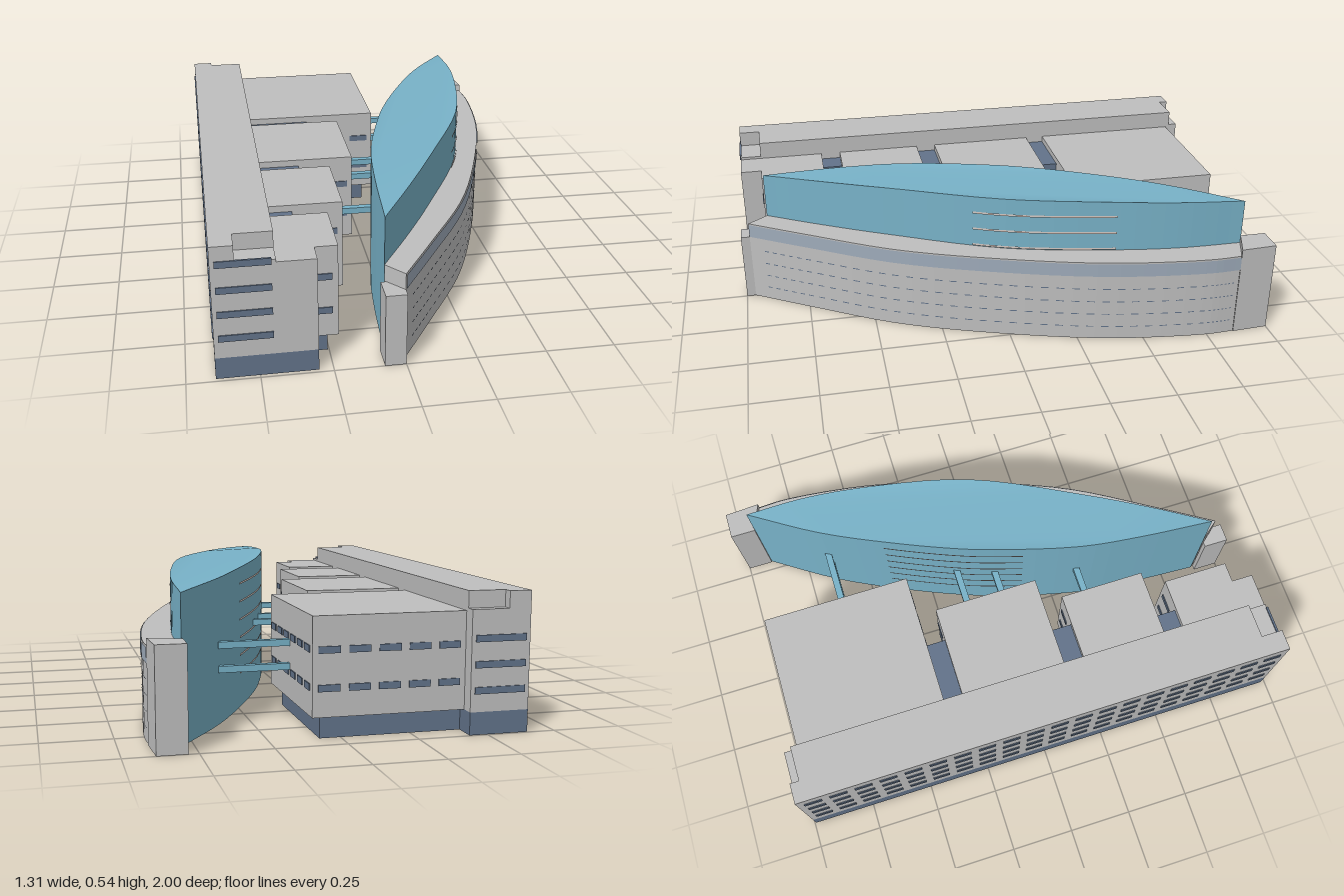
import * as THREE from 'three';
import { mergeGeometries } from 'three/addons/utils/BufferGeometryUtils.js';

const mat = (name, color) => {
  const m = new THREE.MeshStandardMaterial({ color, side: THREE.DoubleSide });
  m.name = name;
  return m;
};

export function createModel() {
  const model = new THREE.Group();
  model.name = 'officeComplex';
  const stone = mat('pale stone', 0xbfbfbf);
  const glass = mat('blue glass', 0x78b2c8);
  const slate = mat('slate glass', 0x62738a);
  const bandMat = mat('pale slate band', 0x9eabba);
  const trim = mat('floor line trim', 0xd6cac4);

  const add = (name, geo, m) => {
    const mesh = new THREE.Mesh(geo, m);
    mesh.name = name;
    model.add(mesh);
    return mesh;
  };
  const boxGeo = (x0, x1, y0, y1, z0, z1) =>
    new THREE.BoxGeometry(x1 - x0, y1 - y0, z1 - z0)
      .translate((x0 + x1) / 2, (y0 + y1) / 2, (z0 + z1) / 2);
  const box = (name, m, ...b) => add(name, boxGeo(...b), m);
  // Upright prism from a plan outline of [x, z] points
  const prism = (name, pts, y0, y1, m) => {
    const shape = new THREE.Shape(pts.map(([x, z]) => new THREE.Vector2(x, -z)));
    const geo = new THREE.ExtrudeGeometry(shape, { depth: y1 - y0, bevelEnabled: false });
    add(name, geo.rotateX(-Math.PI / 2).translate(0, y0, 0), m);
  };
  // Surface spanned between two rows of points, flat shaded
  const loft = (a, b) => {
    const pos = [], idx = [];
    a.forEach((p, i) => {
      pos.push(...p, ...b[i]);
      if (i) idx.push(2 * i - 2, 2 * i, 2 * i - 1, 2 * i, 2 * i + 1, 2 * i - 1);
    });
    const g = new THREE.BufferGeometry();
    g.setAttribute('position', new THREE.Float32BufferAttribute(pos, 3));
    g.setIndex(idx);
    const flat = g.toNonIndexed();
    flat.computeVertexNormals();
    return flat;
  };
  // Open-bottomed plinth: box without its lower face
  const plinth = (name, x0, x1, z0, z1) => {
    const g = boxGeo(x0, x1, 0, 0.08, z0, z1);
    const idx = Array.from(g.index.array);
    idx.splice(18, 6);
    g.setIndex(idx);
    add(name, g, slate);
  };

  // Rows of thin window plates along x (on a z face) or along z (on an x face)
  const panes = [];
  const windowRow = (axis, face, from, to, count, rows, gap = 0.03) => {
    const pitch = (to - from + gap) / count;
    for (const y of rows) for (let i = 0; i < count; i++) {
      const s = from + i * pitch, e = s + pitch - gap;
      panes.push(axis === 'x'
        ? boxGeo(s, e, y - 0.012, y + 0.012, face - 0.004, face + 0.004)
        : boxGeo(face - 0.004, face + 0.004, y - 0.012, y + 0.012, s, e));
    }
  };

  // Long slab with a lower notch at each inner corner
  box('slabLower', stone, -0.65, -0.435, 0.08, 0.435, -0.995, 0.985);
  prism('slabUpper', [[-0.65, -0.995], [-0.57, -0.995], [-0.57, -0.96], [-0.435, -0.96],
    [-0.435, 0.9], [-0.57, 0.9], [-0.57, 0.985], [-0.65, 0.985]], 0.435, 0.495, stone);
  plinth('slabPlinth', -0.65, -0.435, -0.995, 0.985);
  const slabRows = [0.155, 0.245, 0.335, 0.43];
  windowRow('z', -0.65, -0.97, 0.96, 20, slabRows);
  windowRow('x', 0.985, -0.635, -0.45, 1, slabRows);
  windowRow('x', -0.995, -0.635, -0.45, 1, slabRows.slice(0, 3));

  // Four wings of decreasing depth, on recessed plinths
  const wings = [[0.11, -0.945, -0.355], [-0.055, -0.28, 0.14], [-0.155, 0.22, 0.56], [-0.22, 0.64, 0.9]];
  const rows = [0.18, 0.31];
  wings.forEach(([x, z0, z1], i) => {
    box('wing' + (i + 1), stone, -0.435, x, 0.08, 0.425, z0, z1);
    plinth('wingPlinth' + (i + 1), -0.435, x - 0.035, z0 + 0.035, z1 - 0.035);
    windowRow('z', x, z0 + 0.03, z1 - 0.03, Math.round((z1 - z0) / 0.1), rows);
    const n = Math.max(2, Math.round((x + 0.435) / 0.1));
    windowRow('x', z0, -0.415, x - 0.02, n, rows);
    if (i < 3) windowRow('x', z1, -0.415, x - 0.02, n, rows);
  });
  box('frontWingBay', stone, -0.435, -0.3, 0.08, 0.425, 0.9, 0.985);
  plinth('frontBayPlinth', -0.435, -0.3, 0.865, 0.985);
  windowRow('x', 0.9, -0.3, -0.24, 1, rows);
  add('windows', mergeGeometries(panes), slate);

  // Glazed links between the wings
  [[-0.18, -0.355, -0.28], [-0.27, 0.14, 0.22], [-0.34, 0.56, 0.64]].forEach(([x, z0, z1]) =>
    box('wingLink', slate, -0.435, x, 0, 0.4, z0, z1));

  // Footbridges to the curved building
  [[0.11, 0.37, -0.635, 0.287], [0.11, 0.37, -0.635, 0.2], [-0.055, 0.135, -0.14, 0.287],
    [-0.055, 0.085, 0.01, 0.287], [-0.155, -0.01, 0.34, 0.287]].forEach(([x0, x1, z, y]) =>
    box('footbridge', glass, x0, x1, y - 0.012, y + 0.012, z - 0.013, z + 0.013));

  // Plan curves of the curved building, as [x, z]
  const N = 28;
  const plan = (pts) => new THREE.CatmullRomCurve3(pts.map(([x, z]) => new THREE.Vector3(x, 0, z)));
  const outer = plan([[0.645, -0.86], [0.648, -0.74], [0.6, -0.37], [0.485, 0.03], [0.335, 0.41], [0.14, 0.74], [0, 0.965]]);
  const inner = plan([[0.54, -0.9], [0.535, -0.66], [0.5, -0.4], [0.405, 0], [0.205, 0.42], [0.07, 0.67], [-0.06, 0.89]]);
  const west = plan([[0.54, -0.9], [0.365, -0.635], [0.235, -0.38], [0.13, -0.14], [0.077, 0.01], [-0.012, 0.34], [-0.043, 0.6], [-0.06, 0.89]]);
  const line = (curve, y, shift = 0, t0 = 0, t1 = 1, n = N) =>
    Array.from({ length: n + 1 }, (_, i) => {
      const p = curve.getPoint(t0 + (t1 - t0) * i / n);
      return [p.x + shift, typeof y === 'function' ? y(p.z) : y, p.z];
    });
  const roofY = (z) => 0.54 - 0.03 * (z / 0.9) ** 2;

  // Stone front wall, its ledge and the window band
  add('curvedWall', loft(line(outer, 0), line(outer, 0.332)), stone);
  add('curvedLedge', loft(line(outer, 0.332), line(inner, 0.332)), stone);
  add('curvedBand', loft(line(outer, 0.275, 0.004), line(outer, 0.328, 0.004)), bandMat);
  for (const t of [0, 1]) {
    const a = outer.getPoint(t), b = inner.getPoint(t);
    add('curvedWallEnd', loft([[a.x, 0, a.z], [b.x, 0, b.z]], [[a.x, 0.332, a.z], [b.x, 0.332, b.z]]), stone);
  }
  // Fine slit windows on the wall
  const slits = [];
  for (const y of [0.055, 0.11, 0.165, 0.22]) for (let i = 0; i < 40; i++) {
    const t = 0.03 + i * 0.0235;
    slits.push(loft(line(outer, y - 0.002, 0.003, t, t + 0.012, 1), line(outer, y + 0.002, 0.003, t, t + 0.012, 1)));
  }
  add('slitWindows', mergeGeometries(slits), slate);

  // Lens-shaped glass hall with an arched roof
  add('hallEastWall', loft(line(inner, 0), line(inner, roofY)), glass);
  add('hallWestWall', loft(line(west, 0), line(west, roofY)), glass);
  // The roof joins both walls through their own outline
  const rim = [...line(inner, roofY), ...line(west, roofY).slice(1, -1).reverse()];
  const contour = rim.map(([x, , z]) => new THREE.Vector2(x, z));
  const roof = new THREE.BufferGeometry();
  roof.setAttribute('position', new THREE.Float32BufferAttribute(rim.flat(), 3));
  roof.setIndex(THREE.ShapeUtils.triangulateShape(contour, []).flatMap(([a, b, c]) => {
    const p = contour[a], q = contour[b], r = contour[c];
    const up = (q.x - p.x) * (r.y - p.y) - (q.y - p.y) * (r.x - p.x) < 0;
    return up ? [a, b, c] : [a, c, b];
  }));
  roof.computeVertexNormals();
  add('hallRoof', roof, glass);

  // Floor lines on both glass walls, between z = -0.41 and z = 0.115
  const tAt = (curve, z) => {
    let t = 0;
    while (t < 1 && curve.getPoint(t).z < z) t += 0.002;
    return t;
  };
  const floorLines = (curve, shift, heights) => {
    const t0 = tAt(curve, -0.41), t1 = tAt(curve, 0.115);
    for (const y of heights)
      add('floorLine', loft(line(curve, y - 0.004, shift, t0, t1), line(curve, y + 0.004, shift, t0, t1)), trim);
  };
  floorLines(inner, 0.005, [0.34, 0.408, 0.476]);
  floorLines(west, -0.005, [0.136, 0.204, 0.272, 0.34, 0.408, 0.476]);

  // End towers
  prism('backTower', [[0.535, -1], [0.64, -1], [0.648, -0.86], [0.535, -0.9]], 0, 0.36, stone);
  prism('frontTower', [[-0.075, 0.9], [-0.055, 0.9], [0, 0.965], [0, 1], [-0.075, 1]], 0, 0.272, stone);

  return model;
}
